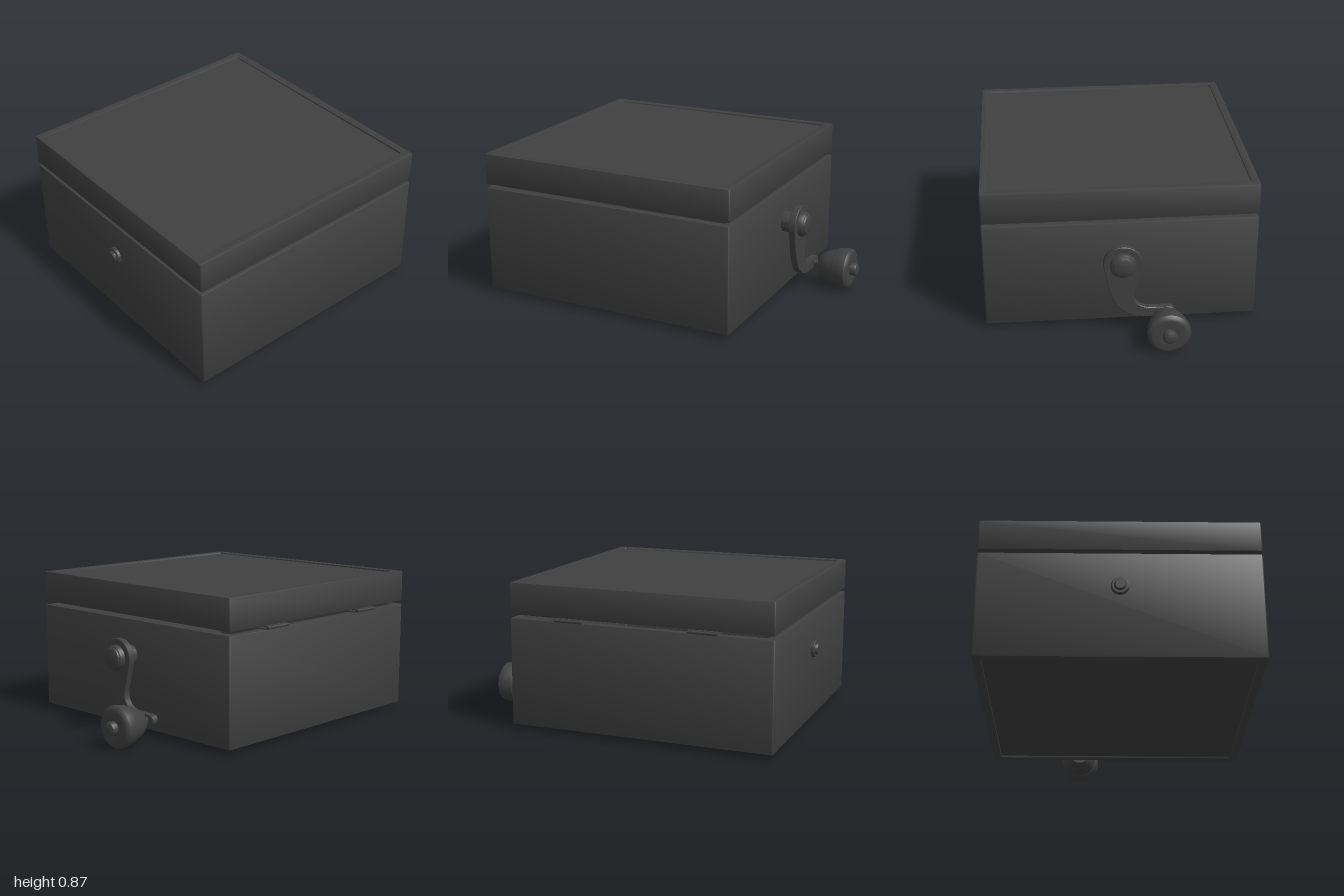
import * as THREE from 'three';
import { toCreasedNormals } from 'three/addons/utils/BufferGeometryUtils.js';

const BOX = { x: -0.177, z: 0.01, half: 0.787, wall: 0.05 };
const AXLE = { y: 0.45, z: 0.01 };
const GRIP = { y: 0.123, z: -0.23 };

export function createModel() {
  const model = new THREE.Group();
  const material = new THREE.MeshStandardMaterial({ color: 0x404040 });

  const add = (name, geometry, x = 0, y = 0, z = 0, parent = model) => {
    const mesh = new THREE.Mesh(geometry, material);
    mesh.name = name;
    mesh.position.set(x, y, z);
    parent.add(mesh);
    return mesh;
  };

  // Square outline with small rounded corners
  const square = (Type, h, r) => {
    const s = new Type();
    const corners = [[1, 1], [-1, 1], [-1, -1], [1, -1]];
    corners.forEach(([sx, sy], i) => {
      s.absarc(sx * (h - r), sy * (h - r), r, i * Math.PI / 2, (i + 1) * Math.PI / 2, false);
    });
    s.closePath();
    return s;
  };

  // Four walls as one softly bevelled frame, rising from y0 to y1
  const frame = (y0, y1) => {
    const b = 0.006;
    const shape = square(THREE.Shape, BOX.half - b, 0.006);
    shape.holes.push(square(THREE.Path, BOX.half - BOX.wall + b, 0.02));
    const g = new THREE.ExtrudeGeometry(shape, {
      depth: y1 - y0 - 2 * b, bevelSize: b, bevelThickness: b, bevelSegments: 2, curveSegments: 4,
    });
    g.rotateX(-Math.PI / 2).translate(0, y0 + b, 0);
    return toCreasedNormals(g, 0.6);
  };

  // Turned part along +x from [x, radius] pairs
  const turned = (profile) => {
    const g = new THREE.LatheGeometry(profile.map(([x, r]) => new THREE.Vector2(r, x)), 40);
    return toCreasedNormals(g.rotateZ(-Math.PI / 2), 0.6);
  };

  // Box body and lid, each with a slightly recessed panel
  const panelSize = 2 * (BOX.half - BOX.wall) + 0.004;
  const panel = new THREE.BoxGeometry(panelSize, 0.03, panelSize);
  const body = new THREE.Group();
  body.name = 'body';
  add('bodyWalls', frame(0.03, 0.66), BOX.x, 0, BOX.z, body);
  add('bottomPanel', panel, BOX.x, 0.057, BOX.z, body);
  const lid = new THREE.Group();
  lid.name = 'lid';
  add('lidWalls', frame(0.681, 0.866), BOX.x, 0, BOX.z, lid);
  add('lidPanel', panel, BOX.x, 0.841, BOX.z, lid);
  model.add(body, lid);

  // Hinges: two thin leaves and a barrel just behind the back wall
  for (const x of [-0.565, 0.237]) {
    const hinge = new THREE.Group();
    hinge.name = 'hinge';
    hinge.position.set(x, 0.67, -0.79);
    for (const s of [-1, 1]) {
      add('hingeLeaf', new THREE.BoxGeometry(0.172, 0.006, 0.07), 0, s * 0.007, 0.039, hinge);
    }
    add('hingeBarrel', new THREE.CylinderGeometry(0.009, 0.009, 0.172, 16).rotateZ(Math.PI / 2), 0, 0, -0.001, hinge);
    model.add(hinge);
  }

  // Axle end on the side opposite the crank
  add('axleEnd', turned([
    [-1, 0], [-1, 0.026], [-0.994, 0.032], [-0.985, 0.034], [-0.985, 0.044], [-0.98, 0.05], [-0.96, 0.05], [-0.96, 0],
  ]), 0, AXLE.y, AXLE.z);

  // Crank hub through the arm
  add('crankHub', turned([
    [0.6, 0], [0.6, 0.06], [0.68, 0.06], [0.68, 0.072], [0.735, 0.075], [0.748, 0.068],
    [0.75, 0.062], [0.758, 0.058], [0.762, 0.05], [0.762, 0],
  ]), 0, AXLE.y, AXLE.z);

  // Crank arm: round head sweeping down and back to a narrow rounded end
  const arm = new THREE.Shape();
  const hx = -AXLE.z, gx = -GRIP.z;
  arm.absarc(hx, AXLE.y, 0.11, -0.3, Math.PI + 0.25, false);
  arm.bezierCurveTo(-0.09, 0.3, -0.08, 0.12, 0.11, 0.1);
  arm.lineTo(gx + 0.03, GRIP.y - 0.028);
  arm.absarc(gx + 0.03, GRIP.y + 0.003, 0.031, -Math.PI / 2, Math.PI / 2, false);
  arm.lineTo(0.13, 0.16);
  arm.bezierCurveTo(0.075, 0.175, 0.04, 0.21, 0.06, 0.28);
  arm.closePath();
  const armGeometry = new THREE.ExtrudeGeometry(arm, {
    depth: 0.034, bevelSize: 0.003, bevelOffset: -0.003, bevelThickness: 0.003, bevelSegments: 1, curveSegments: 24,
  });
  armGeometry.rotateY(Math.PI / 2).translate(0.682, 0, 0);
  add('crankArm', toCreasedNormals(armGeometry, 0.6));

  // Handle pin and turned grip
  add('handlePin', turned([
    [0.66, 0], [0.66, 0.019], [0.664, 0.022], [0.77, 0.022], [0.77, 0],
  ]), 0, GRIP.y, GRIP.z);
  add('handleGrip', turned([
    [0.758, 0], [0.758, 0.054], [0.765, 0.064], [0.8, 0.085], [0.83, 0.098], [0.862, 0.106],
    [0.866, 0.112], [0.89, 0.118], [0.92, 0.123], [0.943, 0.121], [0.956, 0.11], [0.961, 0.095],
    [0.958, 0.06], [0.955, 0],
  ]), 0, GRIP.y, GRIP.z);
  add('handleCap', turned([
    [0.95, 0], [0.95, 0.038], [0.98, 0.04], [0.992, 0.035], [0.998, 0.022], [1, 0],
  ]), 0, GRIP.y, GRIP.z);

  return model;
}
